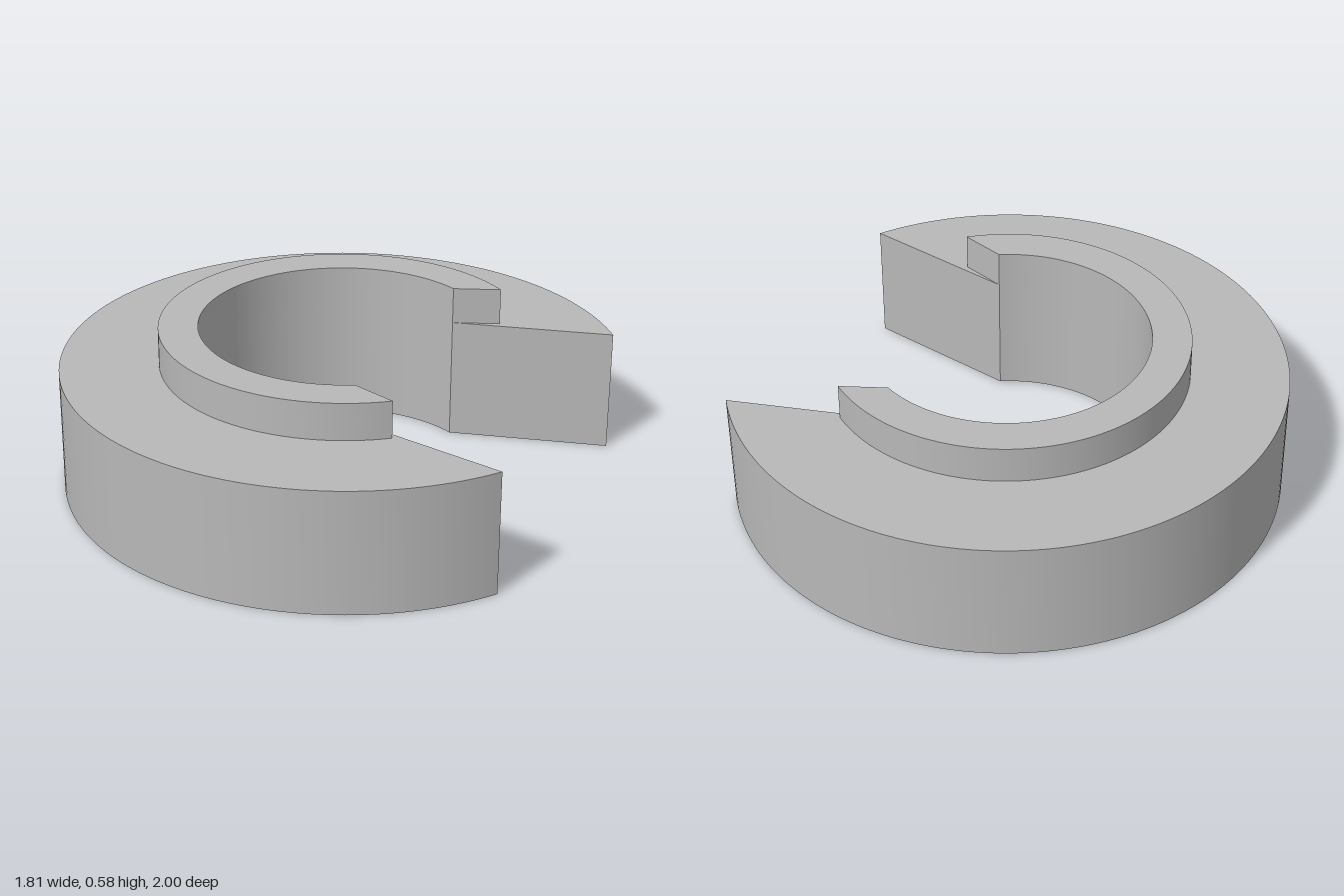
import * as THREE from 'three';
import { toCreasedNormals } from 'three/addons/utils/BufferGeometryUtils.js';

const CENTRE_X = 0.095;
const INNER = { radius: 0.51, angle: Math.atan2(0.45, 0.24) };

// C-shaped slab: outer arc and inner arc joined by straight, slanted end faces
function openRing(name, radius, angle, bottom, top, material) {
  const shape = new THREE.Shape();
  shape.absarc(0, 0, radius, angle, 2 * Math.PI - angle, false);
  shape.absarc(0, 0, INNER.radius, 2 * Math.PI - INNER.angle, INNER.angle, true);
  shape.closePath();
  const extruded = new THREE.ExtrudeGeometry(shape, {
    depth: top - bottom, bevelEnabled: false, curveSegments: 72,
  });
  extruded.rotateX(-Math.PI / 2);
  extruded.translate(CENTRE_X, bottom, 0);
  const mesh = new THREE.Mesh(toCreasedNormals(extruded, 0.4), material);
  mesh.name = name;
  return mesh;
}

export function createModel() {
  const grey = new THREE.MeshStandardMaterial({ color: 0xb8b8b8 });
  grey.name = 'plain grey';

  const group = new THREE.Group();
  group.name = 'slottedCollar';
  // Wide body with a V-shaped opening towards +x
  group.add(openRing('body', 1, Math.atan2(0.585, 0.81), 0, 0.45, grey));
  // Narrow raised lip around the bore
  group.add(openRing('raisedLip', 0.65, Math.atan2(0.51, 0.4), 0.45, 0.585, grey));
  return group;
}
